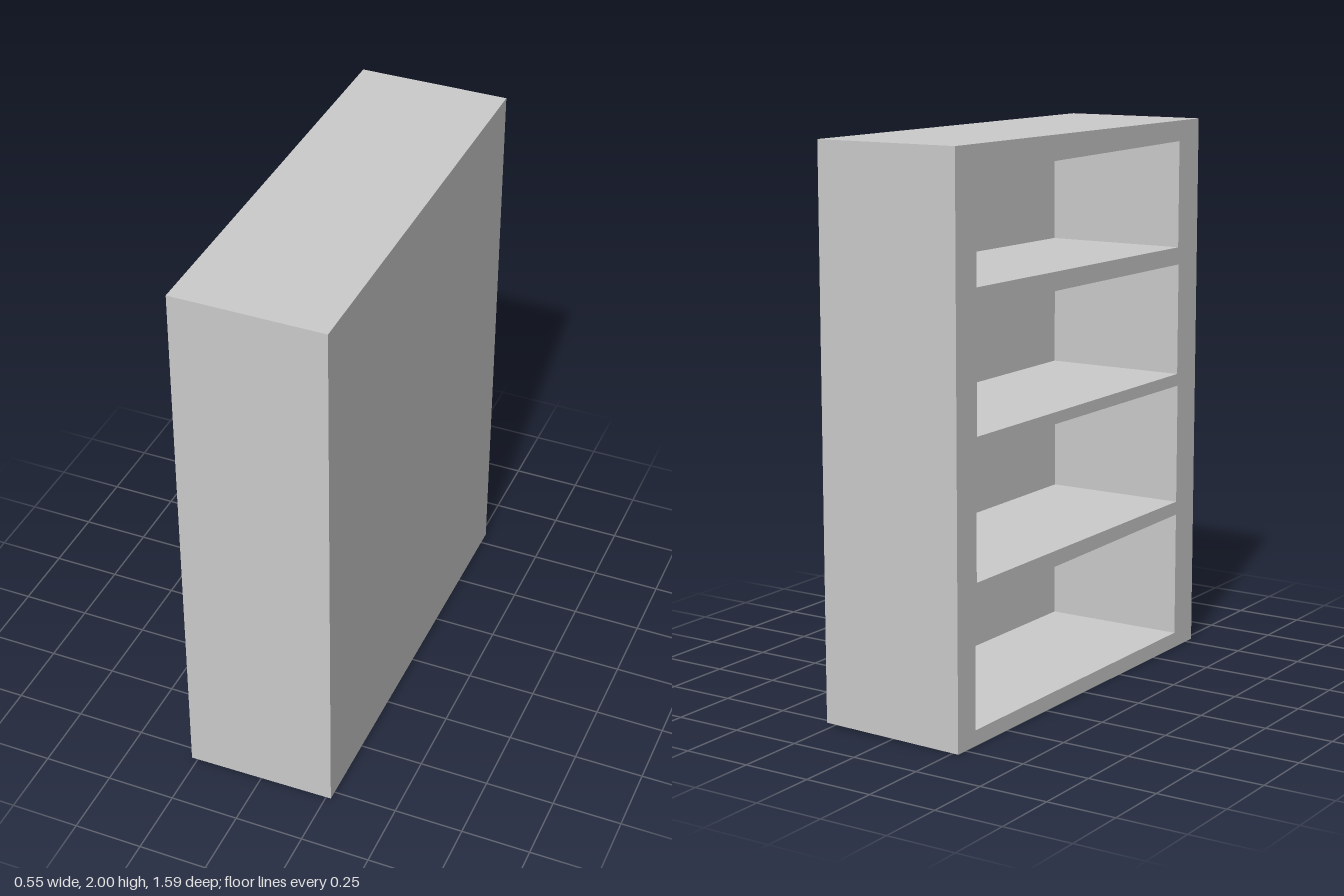
import * as THREE from 'three';

export function createModel() {
  const group = new THREE.Group();
  group.name = 'bookcase';
  const material = new THREE.MeshStandardMaterial({ color: 0xcccccc, flatShading: true });
  const add = (name, geometry) => {
    const mesh = new THREE.Mesh(geometry, material);
    mesh.name = name;
    group.add(mesh);
    return mesh;
  };

  const front = -0.273, back = 0.272, panel = 0.005;
  const zMin = -0.793, zMax = 0.793;
  const lift = 0.01; // the underside rises slightly toward the back panel

  // outline of the open face; shape x is -z
  const polygon = (Type, corners) => new Type(corners.map(([z, y]) => new THREE.Vector2(-z, y)));
  const face = polygon(THREE.Shape, [[zMin, 0], [zMax, 0], [zMax, 2], [zMin, 2]]);

  // four slightly uneven compartments: [z, bottom, top] at each end
  const compartments = [
    [[-0.69, 0.055, 0.50], [0.66, 0.057, 0.52]],
    [[-0.68, 0.56, 1.01], [0.66, 0.57, 1.015]],
    [[-0.675, 1.05, 1.473], [0.655, 1.06, 1.471]],
    [[-0.675, 1.54, 1.905], [0.65, 1.535, 1.925]],
  ];
  for (const [[za, ba, ta], [zb, bb, tb]] of compartments) {
    face.holes.push(polygon(THREE.Path, [[za, ba], [za, ta], [zb, tb], [zb, bb]]));
  }

  // sides, top, base and shelves in one solid frame
  const frame = new THREE.ExtrudeGeometry(face, { depth: back - panel - front, bevelEnabled: false });
  frame.rotateY(Math.PI / 2).translate(front, 0, 0);
  const p = frame.attributes.position;
  for (let i = 0; i < p.count; i++) {
    if (p.getY(i) < 0.001) p.setY(i, lift * (p.getX(i) - front) / (back - front));
  }
  frame.computeVertexNormals();
  add('shelfFrame', frame);

  // thin panel closing the compartments
  add('backPanel', new THREE.BoxGeometry(panel, 2 - lift, zMax - zMin))
    .position.set(back - panel / 2, 1 + lift / 2, 0);

  return group;
}
